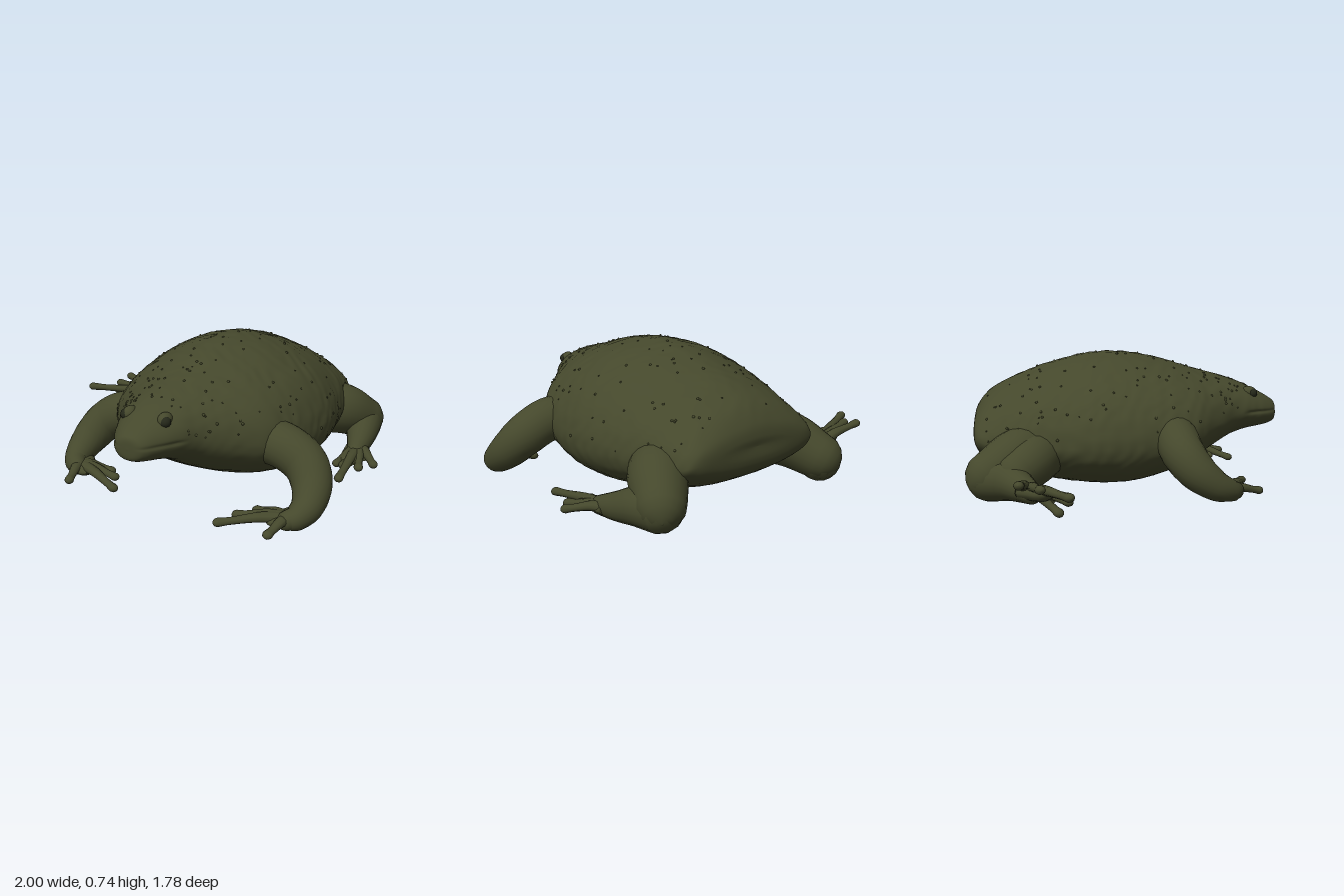
import * as THREE from 'three';

const V = (x, y, z) => new THREE.Vector3(x, y, z);
const skinMat = new THREE.MeshStandardMaterial({ color: 0x45482c });
const webMat = new THREE.MeshStandardMaterial({ color: 0x45482c, side: THREE.DoubleSide });
const eyeMat = new THREE.MeshStandardMaterial({ color: 0x25281a });

let seed = 7;
const rand = () => (seed = (seed * 16807) % 2147483647) / 2147483647;

// Closed-ring surface: f(i, j) gives ring i, point j
function skin(rings, sides, f) {
  const pos = [], idx = [];
  for (let i = 0; i <= rings; i++)
    for (let j = 0; j < sides; j++) pos.push(...f(i, j).toArray());
  for (let i = 0; i < rings; i++)
    for (let j = 0; j < sides; j++) {
      const k = (j + 1) % sides;
      const a = i * sides + j, b = i * sides + k, c = a + sides, d = b + sides;
      idx.push(a, b, c, b, d, c);
    }
  const g = new THREE.BufferGeometry();
  g.setAttribute('position', new THREE.Float32BufferAttribute(pos, 3));
  g.setIndex(idx);
  g.computeVertexNormals();
  return g;
}

function add(parent, name, geometry, material = skinMat) {
  const m = new THREE.Mesh(geometry, material);
  m.name = name;
  parent.add(m);
  return m;
}

// Uneven hide: a small lumpy value at a point in space
const lump = (x, y, z) =>
  Math.sin(x * 41 + 3 * Math.sin(z * 17)) * Math.sin(z * 37 + 2 * Math.sin(y * 19)) * Math.cos(y * 33 + 2 * Math.sin(x * 15));

// Tapered limb with round ends through points [x, y, z, radius]
function limb(pts, sides = 14, flat = 1) {
  const path = new THREE.CatmullRomCurve3(pts.map(p => V(p[0], p[1], p[2])), false, 'catmullrom', 0.5);
  const rad = new THREE.CatmullRomCurve3(pts.map(p => V(p[3], 0, 0)), false, 'catmullrom', 0.5);
  const n = (pts.length - 1) * 7, cap = 4;
  return skin(n + 2 * cap, sides, (i, j) => {
    const k = i - cap, u = THREE.MathUtils.clamp(k / n, 0, 1);
    const over = k < 0 ? k / cap : k > n ? (k - n) / cap : 0;
    const t = path.getTangent(u), r = rad.getPoint(u).x;
    const s = V(0, 1, 0).cross(t).normalize(), up = t.clone().cross(s);
    const a = (j / sides) * Math.PI * 2, q = r * Math.cos(over * Math.PI / 2);
    const p = path.getPoint(u)
      .addScaledVector(t, r * Math.sin(over * Math.PI / 2))
      .addScaledVector(s, q * Math.cos(a))
      .addScaledVector(up, q * flat * Math.sin(a));
    p.y = Math.max(p.y, 0.002);
    return p;
  });
}

// Body sections, rump to snout: z, centre x, half width, bottom, widest height, top
const sections = [
  [-0.85, 0.21, 0, 0.33, 0.33, 0.33],
  [-0.855, 0.21, 0.25, 0.265, 0.32, 0.38],
  [-0.835, 0.21, 0.39, 0.21, 0.30, 0.445],
  [-0.77, 0.21, 0.445, 0.16, 0.28, 0.525],
  [-0.66, 0.21, 0.475, 0.105, 0.27, 0.59],
  [-0.53, 0.205, 0.51, 0.065, 0.27, 0.645],
  [-0.40, 0.20, 0.535, 0.03, 0.27, 0.69],
  [-0.20, 0.195, 0.57, 0.005, 0.27, 0.735],
  [0.00, 0.195, 0.565, 0.005, 0.27, 0.74],
  [0.20, 0.195, 0.53, 0.05, 0.29, 0.705],
  [0.35, 0.195, 0.47, 0.115, 0.32, 0.66],
  [0.47, 0.19, 0.365, 0.18, 0.35, 0.625],
  [0.60, 0.175, 0.245, 0.25, 0.39, 0.59],
  [0.70, 0.165, 0.19, 0.285, 0.41, 0.55],
  [0.80, 0.155, 0.135, 0.305, 0.40, 0.50],
  [0.86, 0.155, 0.095, 0.32, 0.39, 0.465],
  [0.885, 0.155, 0.06, 0.34, 0.39, 0.44],
  [0.89, 0.155, 0, 0.39, 0.39, 0.39],
];
const plan = new THREE.CatmullRomCurve3(sections.map(s => V(s[1], s[2], s[0])), false, 'catmullrom', 0.5);
const side = new THREE.CatmullRomCurve3(sections.map(s => V(s[3], s[4], s[5])), false, 'catmullrom', 0.5);

function bodyPoint(u, a) {
  const p = plan.getPoint(u), h = side.getPoint(u), c = Math.cos(a), s = Math.sin(a);
  // sloping shoulders on the trunk, fuller on the head
  const e = s < 0 ? 0.88 : THREE.MathUtils.lerp(1.2, 0.95, THREE.MathUtils.smoothstep(p.z, 0.3, 0.7));
  const x = p.y * Math.sign(c) * Math.abs(c) ** e;
  const y = h.y + s * (s > 0 ? h.z - h.y : h.y - h.x);
  let k = 1 + 0.009 * lump(x, y, p.z);
  // groove of the mouth
  k -= 0.06 * THREE.MathUtils.smoothstep(p.z, 0.66, 0.74) * Math.exp(-(((y - 0.4) / 0.009) ** 2));
  return V(p.x + x * k, Math.max(0.002, h.y + (y - h.y) * k), p.z);
}

// Thin web joining neighbouring toes
function web(root, tips) {
  const pos = [...root], idx = [];
  tips.forEach(t => pos.push(...root.map((v, i) => v + (t[i] - v) * 0.75)));
  for (let i = 1; i < tips.length; i++) idx.push(0, i, i + 1);
  const g = new THREE.BufferGeometry();
  g.setAttribute('position', new THREE.Float32BufferAttribute(pos, 3));
  g.setIndex(idx);
  g.computeVertexNormals();
  return g;
}

// Digits with slightly swollen tips
function digits(parent, name, root, tips, r) {
  tips.forEach(t => {
    const at = (f, lift) => root.map((v, i) => v + (t[i] - v) * f + (i === 1 ? lift : 0));
    add(parent, name, limb([[...root, r * 1.5], [...at(0.4, 0.015), r * 1.15], [...at(0.8, 0.005), r * 0.85], [...t, r]], 10, 0.85));
  });
}

export function createModel() {
  const toad = new THREE.Group();
  toad.name = 'toad';

  const R = 170, S = 110;
  add(toad, 'body', skin(R, S, (i, j) => bodyPoint(i / R, (j / S) * Math.PI * 2)));

  // Small warts over the back and flanks
  const warts = new THREE.Group();
  warts.name = 'warts';
  toad.add(warts);
  const wart = new THREE.SphereGeometry(1, 7, 5);
  for (let i = 0; i < 190; i++) {
    const m = add(warts, 'wart', wart);
    m.position.copy(bodyPoint(0.17 + rand() * 0.58, Math.PI * (0.02 + 0.96 * rand())));
    m.scale.setScalar(0.004 + 0.004 * rand());
  }

  // Eyes under heavy lids, and nostrils
  for (const s of [-1, 1]) {
    const lid = add(toad, 'eyelid', new THREE.SphereGeometry(0.042, 20, 14));
    lid.position.set(0.162 + s * 0.1, 0.505, 0.715);
    lid.scale.set(0.85, 0.9, 1.1);
    const eye = add(toad, 'eye', new THREE.SphereGeometry(0.028, 18, 12), eyeMat);
    eye.position.set(0.162 + s * 0.114, 0.503, 0.735);
    const nostril = add(toad, 'nostril', new THREE.SphereGeometry(0.007, 8, 6), eyeMat);
    nostril.position.set(0.155 + s * 0.035, 0.445, 0.868);
  }

  // Forelegs, mirrored about the body's own midline, fingers posed separately
  const fingerTips = {
    left: [[0.82, 0.03, 0.71], [0.555, 0.03, 0.715], [0.6, 0.035, 0.6], [0.66, 0.03, 0.495]],
    right: [[-0.375, 0.03, 0.67], [-0.11, 0.03, 0.64], [-0.18, 0.035, 0.525], [-0.25, 0.03, 0.455]],
  };
  for (const [name, tips] of Object.entries(fingerTips)) {
    const leg = new THREE.Group();
    leg.name = name + 'Foreleg';
    toad.add(leg);
    const m = p => (name === 'left' ? p : [0.42 - p[0], p[1], p[2] - 0.035, ...p.slice(3)]);
    add(leg, 'arm', limb([
      [0.55, 0.31, 0.25, 0.12], [0.7, 0.3, 0.27, 0.12], [0.82, 0.24, 0.29, 0.115], [0.885, 0.16, 0.35, 0.103],
      [0.905, 0.09, 0.44, 0.083], [0.885, 0.055, 0.52, 0.065], [0.85, 0.045, 0.56, 0.05],
    ].map(m), 20));
    add(leg, 'palm', limb([[0.87, 0.05, 0.49, 0.075], [0.8, 0.04, 0.56, 0.06]].map(m), 16, 0.5));
    digits(leg, 'finger', m([0.85, 0.045, 0.53]), tips, 0.026);
  }

  // Left hind leg, folded with the foot pointing forward
  const left = new THREE.Group(), right = new THREE.Group();
  left.name = 'leftHindLeg';
  right.name = 'rightHindLeg';
  toad.add(left, right);
  add(left, 'thigh', limb([[0.52, 0.24, -0.5, 0.14], [0.65, 0.22, -0.63, 0.15], [0.745, 0.14, -0.765, 0.125]], 22));
  add(left, 'shin', limb([
    [0.75, 0.12, -0.765, 0.117], [0.785, 0.11, -0.66, 0.1], [0.815, 0.08, -0.54, 0.075], [0.835, 0.055, -0.42, 0.05],
  ], 18));
  add(left, 'sole', limb([[0.825, 0.055, -0.48, 0.07], [0.84, 0.045, -0.33, 0.065]], 16, 0.45));
  const leftRoot = [0.83, 0.055, -0.49];
  const leftToes = [[0.975, 0.04, -0.32], [0.915, 0.035, -0.25], [0.87, 0.03, -0.07], [0.825, 0.03, -0.25], [0.785, 0.03, -0.26]];
  digits(left, 'toe', leftRoot, leftToes, 0.026);
  add(left, 'web', web(leftRoot, leftToes), webMat);

  // Right hind leg, with the foot splayed outward
  add(right, 'thigh', limb([[-0.1, 0.24, -0.47, 0.14], [-0.24, 0.22, -0.61, 0.15], [-0.335, 0.14, -0.765, 0.125]], 22));
  add(right, 'haunch', limb([[-0.17, 0.23, -0.46, 0.13], [-0.29, 0.2, -0.54, 0.135], [-0.38, 0.15, -0.62, 0.12]], 20));
  add(right, 'shin', limb([
    [-0.34, 0.12, -0.765, 0.117], [-0.41, 0.12, -0.66, 0.103], [-0.51, 0.11, -0.6, 0.078], [-0.63, 0.105, -0.55, 0.055],
  ], 18));
  add(right, 'sole', limb([[-0.58, 0.105, -0.57, 0.07], [-0.7, 0.12, -0.5, 0.068]], 16, 0.6));
  const rightRoot = [-0.56, 0.105, -0.57];
  const rightToes = [[-0.825, 0.19, -0.61], [-0.84, 0.17, -0.51], [-0.97, 0.16, -0.38], [-0.765, 0.09, -0.375], [-0.735, 0.03, -0.42]];
  digits(right, 'toe', rightRoot, rightToes, 0.027);
  add(right, 'web', web(rightRoot, rightToes), webMat);

  return toad;
}
